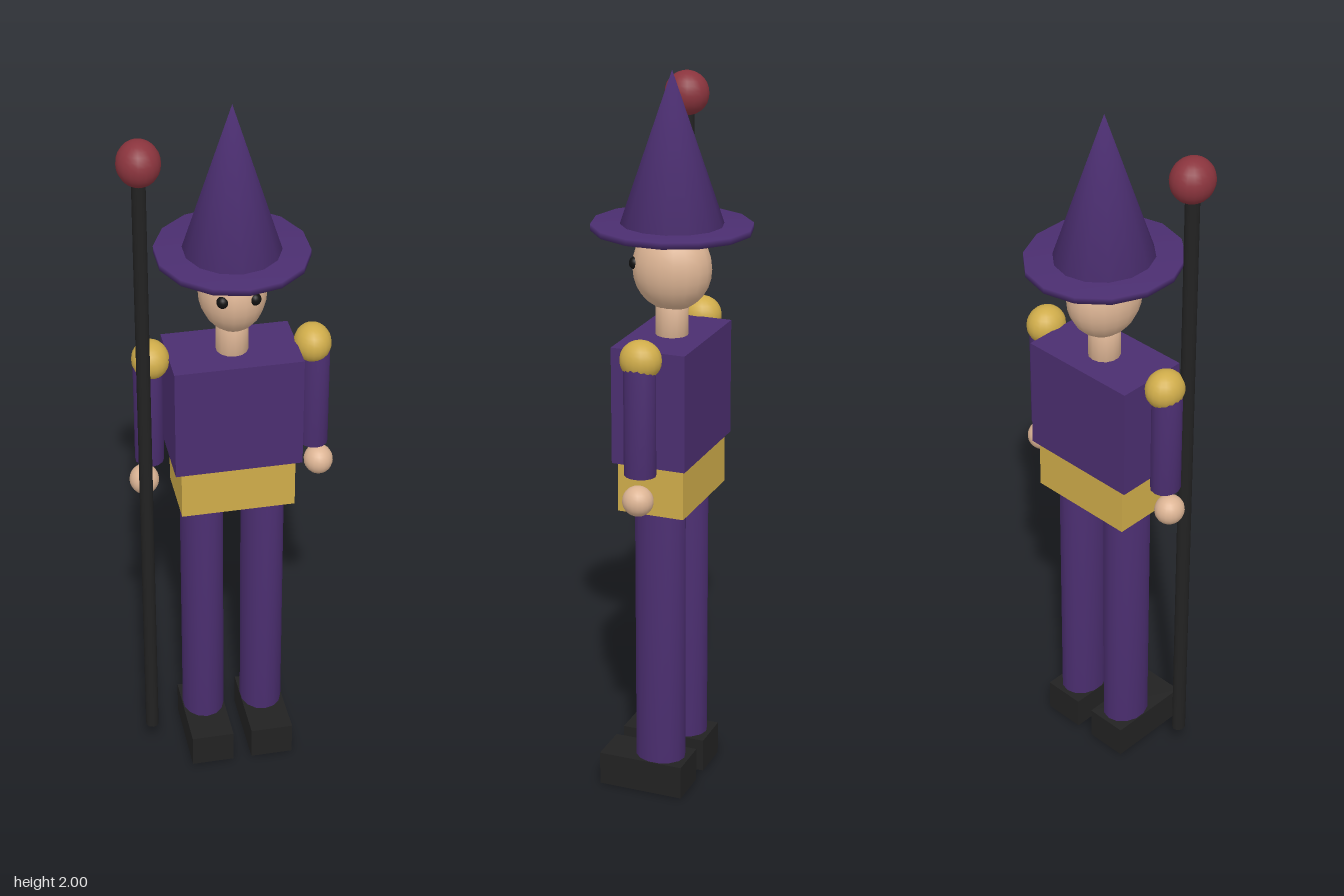
import * as THREE from 'three';
import { mergeVertices } from 'three/addons/utils/BufferGeometryUtils.js';

const CX = 0.007; // body centre line

export function createModel() {
  const model = new THREE.Group();
  model.name = 'staffBearer';

  const mat = (name, color) => {
    const m = new THREE.MeshStandardMaterial({ color });
    m.name = name;
    return m;
  };
  const purple = mat('purple cloth', 0x4b2e70);
  const gold = mat('gold', 0xcfac4a);
  const skin = mat('skin', 0xdcb494);
  const red = mat('dark red', 0x8a343d);
  const black = mat('black leather', 0x222222);
  const eyeBlack = mat('eye black', 0x111111);

  const add = (name, geometry, material, x, y, z) => {
    const mesh = new THREE.Mesh(geometry, material);
    mesh.name = name;
    mesh.position.set(x, y, z);
    model.add(mesh);
  };

  // Weld a round part so its shading runs smoothly over every edge
  const weld = (geometry) => {
    geometry.deleteAttribute('normal');
    geometry.deleteAttribute('uv');
    const welded = mergeVertices(geometry, 1e-5);
    welded.computeVertexNormals();
    return welded;
  };

  const box = (name, material, w, h, d, x, y, z) =>
    add(name, new THREE.BoxGeometry(w, h, d), material, x, y, z);

  const ball = (name, material, rx, ry, rz, x, y, z) =>
    add(name, new THREE.SphereGeometry(1, 18, 14).scale(rx, ry, rz), material, x, y, z);

  // Elliptical column between two heights; top is the taper ratio
  const column = (name, material, rx, rz, y0, y1, x, z, sides = 14, top = 1) => {
    const geometry = new THREE.CylinderGeometry(top, 1, y1 - y0, sides).scale(rx, 1, rz);
    add(name, weld(geometry), material, x, (y0 + y1) / 2, z);
  };

  // Body
  box('torso', purple, 0.344, 0.32, 0.206, CX, 1.14, 0);
  box('belt', gold, 0.31, 0.14, 0.186, CX, 0.91, 0);
  column('neck', skin, 0.043, 0.044, 1.29, 1.39, CX, 0);
  ball('head', skin, 0.09, 0.116, 0.108, CX, 1.482, 0);

  // Paired parts
  for (const [side, s] of [['left', 1], ['right', -1]]) {
    ball(side + 'Eye', eyeBlack, 0.016, 0.017, 0.016, CX + s * 0.042, 1.495, 0.088);
    column(side + 'Leg', purple, 0.059, 0.07, 0.09, 0.84, CX + s * 0.085, 0);
    box(side + 'Boot', black, 0.119, 0.095, 0.243, CX + s * 0.086, 0.0475, 0.038);
    column(side + 'Arm', purple, 0.039, 0.043, 0.98, 1.29, CX + s * 0.225, 0);
    ball(side + 'Shoulder', gold, 0.05, 0.053, 0.056, CX + s * 0.217, 1.292, 0);
    ball(side + 'Hand', skin, 0.04, 0.041, 0.042, CX + s * 0.241, 0.913, 0);
  }

  // Pointed hat
  column('hatBrim', purple, 0.201, 0.216, 1.583, 1.6, CX, 0);
  column('hatCone', purple, 0.128, 0.138, 1.6, 2, CX, 0, 14, 0);

  // Staff
  column('staffPole', black, 0.018, 0.02, 0.086, 1.87, -0.238, 0.055);
  ball('staffOrb', red, 0.056, 0.06, 0.061, -0.237, 1.892, 0.055);

  return model;
}
